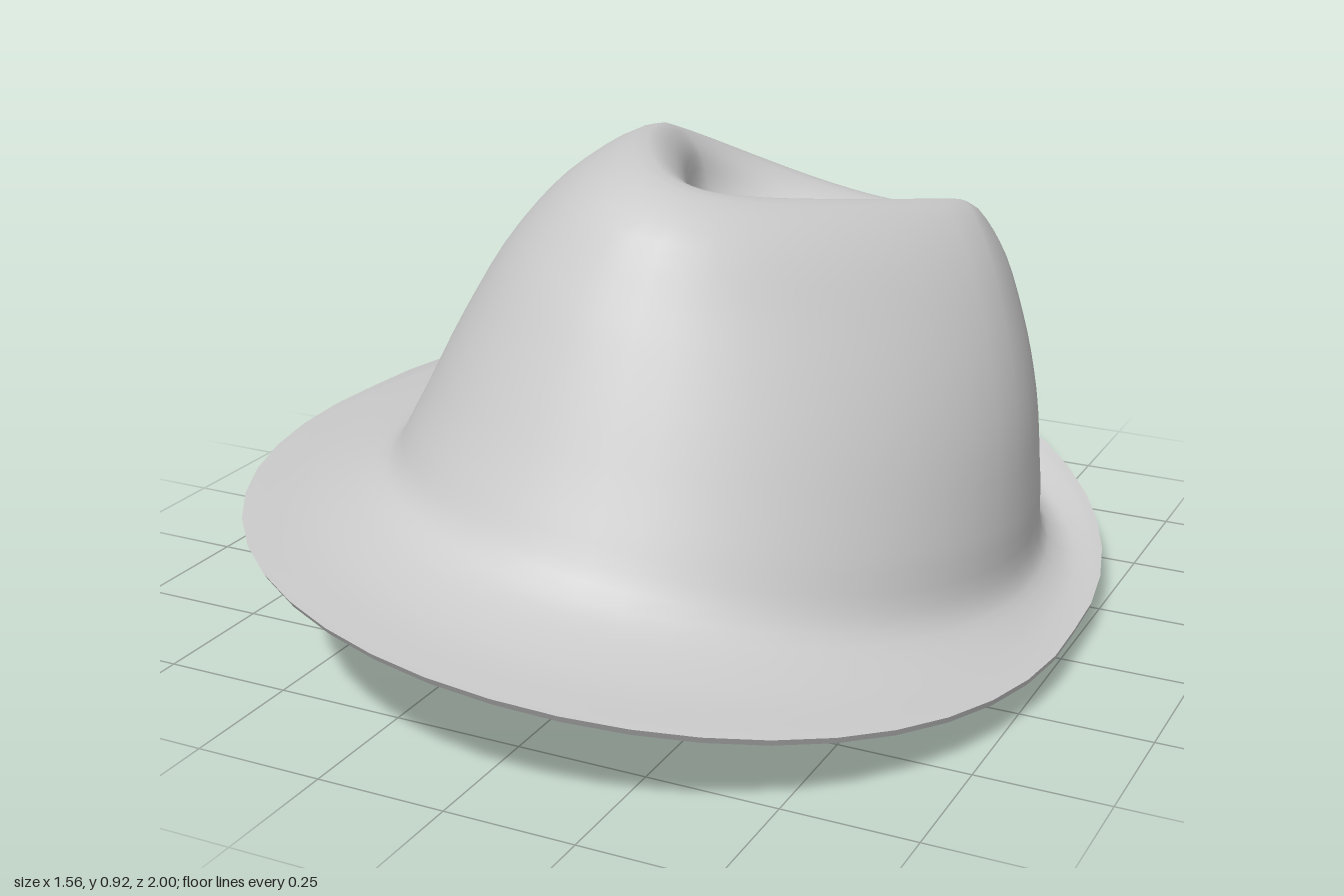
import * as THREE from 'three';

const SIDES = 48;

// A ring: extents left, right, front, back; heights at those four points;
// centre x, centre z, and how far the front narrows (or, if negative, widens).
function ringPoint([xl, xr, zf, zb, yl, yr, yf, yb, cx, cz, pinch], t) {
  const c = Math.cos(t), s = Math.sin(t);
  const narrow = 1 - pinch * Math.max(0, s);
  const y = (yl + yr + yf + yb) / 4 + c * (yr - yl) / 2 + s * (yf - yb) / 2
    + Math.cos(2 * t) * (yl + yr - yf - yb) / 4;
  return new THREE.Vector3(
    cx + c * narrow * (c > 0 ? xr - cx : cx - xl),
    y,
    cz + s * (s > 0 ? zf - cz : cz - zb));
}

// Move a ring inwards by d and down by drop
function inset([xl, xr, zf, zb, yl, yr, yf, yb, ...rest], d, drop) {
  return [xl + d, xr - d, zf - d, zb + d, yl - drop, yr - drop, yf - drop, yb - drop, ...rest];
}

// Smooth skin through a stack of rings
function loft(rings, steps) {
  const pos = [], index = [];
  const rows = (rings.length - 1) * steps + 1;
  for (let i = 0; i < SIDES; i++) {
    const t = i / SIDES * Math.PI * 2;
    const curve = new THREE.CatmullRomCurve3(rings.map(r => ringPoint(r, t)), false, 'centripetal');
    for (let k = 0; k < rows; k++) pos.push(...curve.getPoint(k / (rows - 1)).toArray());
  }
  for (let i = 0; i < SIDES; i++) {
    const j = (i + 1) % SIDES;
    for (let k = 0; k < rows - 1; k++) {
      const a = i * rows + k, b = j * rows + k;
      index.push(a, a + 1, b, b, a + 1, b + 1);
    }
  }
  const geo = new THREE.BufferGeometry();
  geo.setAttribute('position', new THREE.Float32BufferAttribute(pos, 3));
  geo.setIndex(index);
  geo.computeVertexNormals();
  return geo;
}

export function createModel() {
  const group = new THREE.Group();
  group.name = 'hat';
  const felt = new THREE.MeshStandardMaterial({ color: 0xcccccc });
  felt.name = 'greyFelt';

  const add = (name, rings, steps) => {
    const mesh = new THREE.Mesh(loft(rings, steps), felt);
    mesh.name = name;
    group.add(mesh);
  };

  // Rings shared by neighbouring parts
  const opening = [-0.57, 0.59, 0.6, -0.77, 0.275, 0.09, 0.225, 0.18, 0.01, -0.06, 0];
  const rimLow = [-0.775, 0.77, 0.99, -0.998, 0.298, 0.048, 0.22, 0.185, -0.025, 0, -0.11];
  const rimTop = [-0.78, 0.773, 1, -1, 0.31, 0.06, 0.235, 0.2, -0.025, 0, -0.11];

  // Crown walls, from the brim up to the ridge
  const walls = [
    [-0.61, 0.645, 0.7, -0.845, 0.3, 0.11, 0.285, 0.15, 0.01, -0.05, 0],
    [-0.575, 0.63, 0.625, -0.82, 0.37, 0.23, 0.4, 0.26, 0.01, -0.07, 0.02],
    [-0.5, 0.605, 0.53, -0.787, 0.55, 0.41, 0.59, 0.42, 0.02, -0.12, 0.06],
    [-0.42, 0.555, 0.45, -0.76, 0.71, 0.57, 0.74, 0.55, 0.03, -0.18, 0.12],
    [-0.34, 0.48, 0.36, -0.73, 0.815, 0.71, 0.86, 0.63, 0.06, -0.26, 0.25],
    [-0.25, 0.4, 0.22, -0.67, 0.865, 0.775, 0.892, 0.67, 0.07, -0.33, 0.42],
  ];
  // Teardrop hollow in the top
  const hollow = [
    [-0.19, 0.32, 0.14, -0.57, 0.82, 0.745, 0.85, 0.672, 0.06, -0.33, 0.55],
    [-0.15, 0.22, 0.08, -0.48, 0.735, 0.695, 0.765, 0.655, 0.05, -0.32, 0.55],
    [-0.05, 0.12, -0.08, -0.4, 0.705, 0.685, 0.72, 0.665, 0.04, -0.28, 0.3],
    [0.04, 0.04, -0.26, -0.26, 0.695, 0.695, 0.695, 0.695, 0.04, -0.26, 0],
  ];

  // Upper brim, curled up at the back, flowing into the crown
  add('brimTopAndCrown', [
    rimTop,
    [-0.765, 0.755, 0.98, -0.975, 0.303, 0.06, 0.235, 0.17, -0.025, 0, -0.11],
    [-0.69, 0.7, 0.84, -0.905, 0.285, 0.07, 0.24, 0.125, 0, -0.02, -0.05],
    ...walls, ...hollow,
  ], 4);

  // Thin shell inside the crown
  add('lining', [
    ...hollow.map((r, i) => inset(r, i < 3 ? -0.015 : 0, 0.025)).reverse(),
    ...walls.slice(1).map(r => inset(r, 0.03, 0.02)).reverse(),
    opening,
  ], 3);

  // Underside rising to the opening, with a rolled outer wall, and the thin rim
  add('brimUnderside', [
    opening,
    [-0.67, 0.67, 0.82, -0.87, 0.22, 0.012, 0.17, 0.058, 0, -0.02, -0.06],
    [-0.735, 0.745, 0.96, -0.975, 0.262, 0.022, 0.205, 0.095, -0.015, 0, -0.1],
    rimLow,
  ], 5);
  add('brimEdge', [rimLow, rimTop], 1);

  return group;
}
